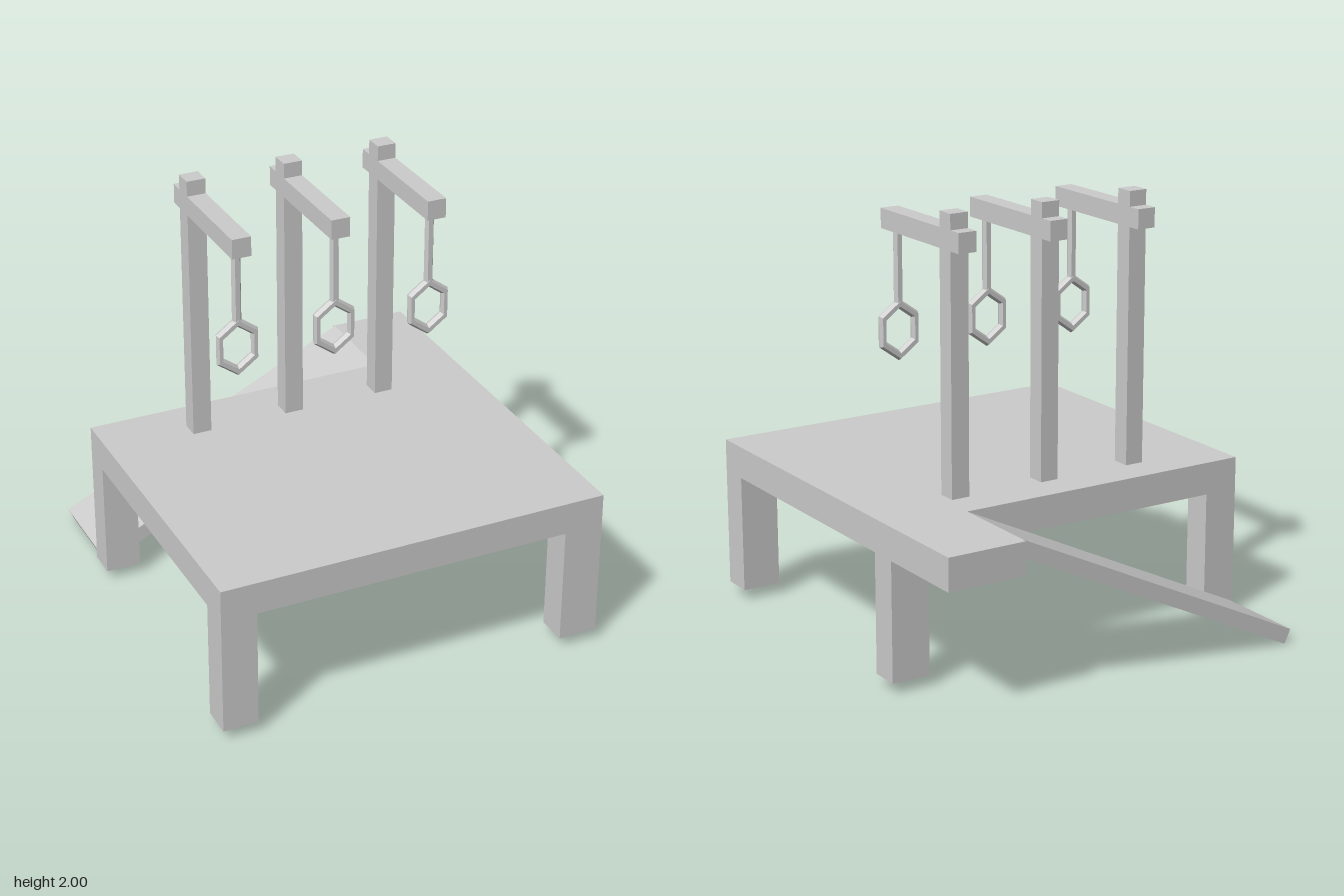
import * as THREE from 'three';

const material = new THREE.MeshStandardMaterial({ color: 0xcccccc, flatShading: true });

function addMesh(parent, name, geometry) {
  const mesh = new THREE.Mesh(geometry, material);
  mesh.name = name;
  parent.add(mesh);
  return mesh;
}

// Box given by its minimum and maximum along each axis
function addBox(parent, name, [x0, x1], [y0, y1], [z0, z1]) {
  const mesh = addMesh(parent, name, new THREE.BoxGeometry(x1 - x0, y1 - y0, z1 - z0));
  mesh.position.set((x0 + x1) / 2, (y0 + y1) / 2, (z0 + z1) / 2);
  return mesh;
}

// Flat outline in x and y, extruded along z
function addSlab(parent, name, outline, z0, z1) {
  const shape = new THREE.Shape(outline.map(([x, y]) => new THREE.Vector2(x, y)));
  const geometry = new THREE.ExtrudeGeometry(shape, { depth: z1 - z0, bevelEnabled: false });
  const mesh = addMesh(parent, name, geometry);
  mesh.position.z = z0;
  return mesh;
}

// Post with a crossbeam, a hanging rope and a six-sided loop
function createHangingFrame() {
  const frame = new THREE.Group();
  frame.name = 'hangingFrame';
  const half = 0.044;
  addBox(frame, 'post', [-half, half], [0.75, 2], [-0.36, -0.273]);
  addBox(frame, 'crossbeam', [-half, half], [1.84, 1.93], [-0.425, 0.216]);

  const rope = addMesh(frame, 'rope', new THREE.CylinderGeometry(0.022, 0.022, 0.33, 6).rotateY(Math.PI / 6));
  rope.position.set(0, 1.68, 0.149);

  const loop = addMesh(frame, 'ropeLoop',
    new THREE.TorusGeometry(0.094, 0.019, 6, 6).rotateZ(Math.PI / 6).scale(1, 1.25, 1.25));
  loop.position.set(0, 1.393, 0.149);
  return frame;
}

export function createModel() {
  const model = new THREE.Group();
  model.name = 'platformWithHangingFrames';

  // L-shaped deck with a landing at the back left
  const deck = addSlab(model, 'deck', [
    [-0.908, -0.984], [0.908, -0.984], [0.908, 0.984],
    [0.535, 0.984], [0.535, 0.528], [-0.908, 0.528],
  ], 0, 0.15);
  deck.rotation.x = -Math.PI / 2;
  deck.position.set(0, 0.6, 0);

  // Four legs
  for (const [side, xs] of [['right', [-0.908, -0.745]], ['left', [0.725, 0.908]]]) {
    addBox(model, side + 'FrontLeg', xs, [0.05, 0.6], [0.838, 0.984]);
    addBox(model, side + 'BackLeg', xs, [0.05, 0.6], [-0.528, -0.393]);
  }

  // Sloping ramp up to the landing
  addSlab(model, 'ramp', [[-0.86, 0], [0.57, 0.69], [0.54, 0.754], [-0.89, 0.064]], -0.972, -0.526);

  // Row of three frames
  for (const x of [-0.46, 0, 0.46]) {
    const frame = createHangingFrame();
    frame.position.x = x;
    model.add(frame);
  }
  return model;
}
